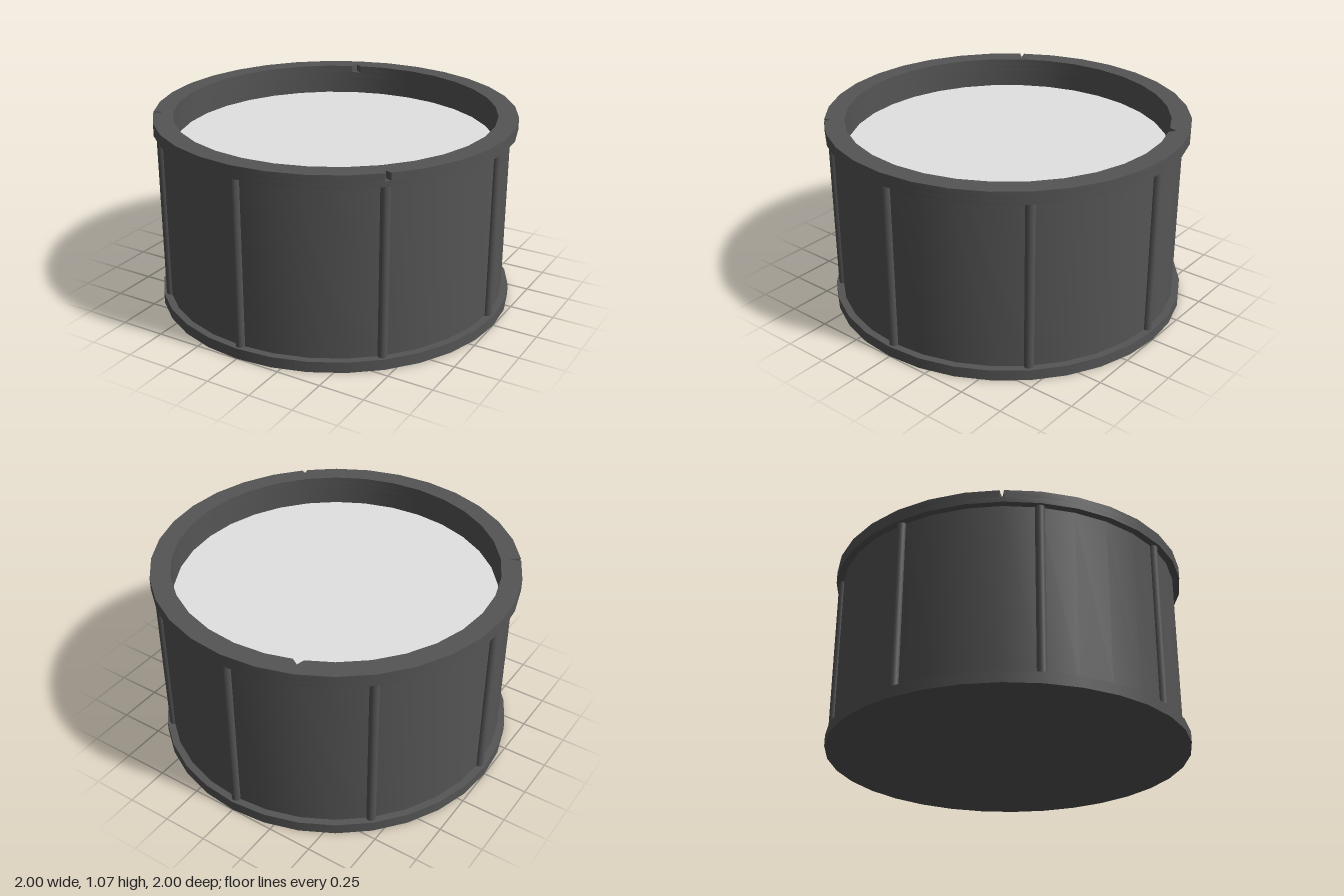
import * as THREE from 'three';
import { toCreasedNormals } from 'three/addons/utils/BufferGeometryUtils.js';

const SIDES = 32;
const RAD = Math.PI / 180;

// Polygonal circle; each notch {angle, half, tip} (degrees, degrees, radius) cuts a small V into it.
function contour(radius, notches = []) {
  const step = 360 / SIDES;
  const points = [];
  for (let i = 0; i < SIDES; i++) {
    const angle = i * step;
    if (notches.every(n => Math.abs(n.angle - angle) > n.half)) points.push({ angle, r: radius });
  }
  for (const n of notches) {
    for (const s of [-1, 0, 1]) {
      const angle = n.angle + s * n.half;
      const offset = (angle % step) - step / 2;
      const chord = radius * Math.cos(step / 2 * RAD) / Math.cos(offset * RAD);
      points.push({ angle, r: s === 0 ? n.tip : chord });
    }
  }
  points.sort((a, b) => a.angle - b.angle);
  return points.map(p => new THREE.Vector2(p.r * Math.sin(p.angle * RAD), -p.r * Math.cos(p.angle * RAD)));
}

// Upright ring between two contours
function ring(outer, inner, y0, y1) {
  const shape = new THREE.Shape(outer);
  shape.holes.push(new THREE.Path(inner));
  const geo = new THREE.ExtrudeGeometry(shape, { depth: y1 - y0, bevelEnabled: false });
  geo.rotateX(-Math.PI / 2).translate(0, y0, 0);
  return toCreasedNormals(geo, 0.4);
}

export function createModel() {
  const group = new THREE.Group();
  const dark = new THREE.MeshStandardMaterial({ color: 0x555555 });
  dark.name = 'dark grey';
  const pale = new THREE.MeshStandardMaterial({ color: 0xe2e2e2 });
  pale.name = 'pale skin';

  const add = (name, geo, mat) => {
    const mesh = new THREE.Mesh(geo, mat);
    mesh.name = name;
    group.add(mesh);
    return mesh;
  };

  // Shell and closed bottom hoop
  add('shell', ring(contour(0.96), contour(0.89), 0.06, 1.0), dark);
  add('bottomHoop', new THREE.CylinderGeometry(1, 1, 0.06, SIDES).translate(0, 0.03, 0), dark);

  // Top hoop, with three small chips in its upper layer
  const outerChips = [
    { angle: 45, half: 0.9, tip: 0.965 },
    { angle: 303.5, half: 0.7, tip: 0.93 },
  ];
  const innerChips = [{ angle: 202.3, half: 1.8, tip: 0.925 }];
  add('topHoop', ring(contour(1), contour(0.89), 1.0, 1.03), dark);
  add('topHoopEdge', ring(contour(1, outerChips), contour(0.89, innerChips), 1.03, 1.07), dark);

  // Recessed drum skin
  add('drumSkin', new THREE.CircleGeometry(0.893, SIDES).rotateX(-Math.PI / 2).translate(0, 0.9, 0), pale);

  // Tension rods around the shell
  const rodGeo = new THREE.CylinderGeometry(0.026, 0.026, 0.94, 12, 1, true);
  for (let i = 0; i < 8; i++) {
    const a = i * Math.PI / 4;
    add('tensionRod' + (i + 1), rodGeo, dark).position.set(0.96 * Math.sin(a), 0.53, 0.96 * Math.cos(a));
  }
  return group;
}
